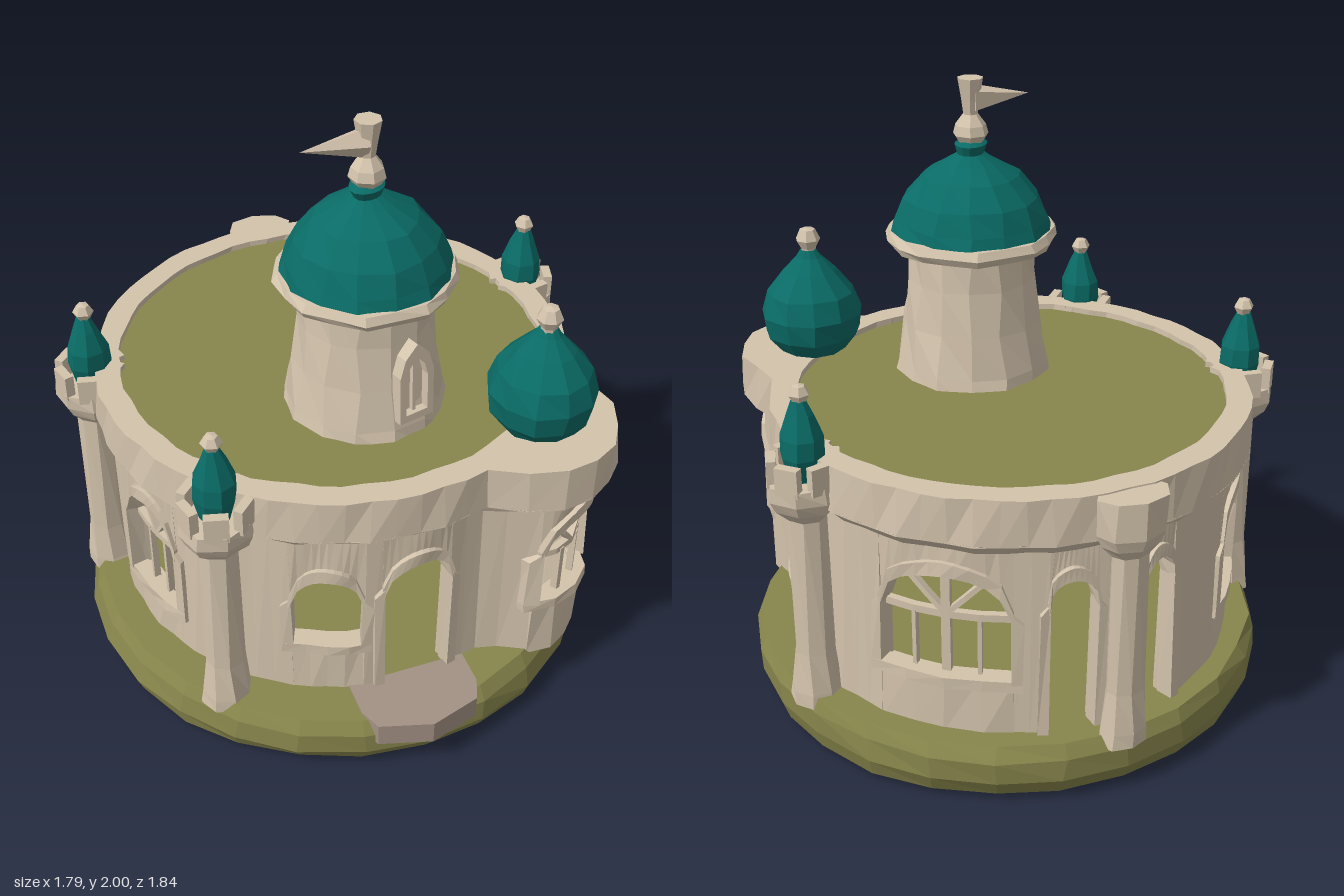
import * as THREE from 'three';

const stone = new THREE.MeshStandardMaterial({ color: 0xd3c3ac });
stone.name = 'pale stone';
const grass = new THREE.MeshStandardMaterial({ color: 0x88864c });
grass.name = 'moss green';
const teal = new THREE.MeshStandardMaterial({ color: 0x0a6b66 });
teal.name = 'teal roof';
const slab = new THREE.MeshStandardMaterial({ color: 0xa39184 });
slab.name = 'brown slab';

const RAD = Math.PI / 180;
const CZ = -0.04; // z of the round wall's centre
const TURRET = { x: 0.46, z: 0.53 };
const turretA = Math.atan2(TURRET.x, TURRET.z - CZ);
const turretD = Math.hypot(TURRET.x, TURRET.z - CZ);

// Facets a geometry and nudges its points for a hand-cut look
function facet(geo, amp = 0) {
  const p = geo.attributes.position;
  for (let i = 0; i < p.count; i++) {
    const x = p.getX(i), y = p.getY(i), z = p.getZ(i);
    const rx = Math.round(x * 1e4) / 1e4, rz = Math.round(z * 1e4) / 1e4;
    p.setX(i, x + amp * Math.sin(rz * 31 + y * 23 + rx * 7));
    p.setZ(i, z + amp * Math.sin(rx * 29 - y * 19 + rz * 5));
  }
  const g = geo.index ? geo.toNonIndexed() : geo;
  g.computeVertexNormals();
  return g;
}

function add(parent, name, geo, mat, amp = 0, x = 0, y = 0, z = 0) {
  const m = new THREE.Mesh(facet(geo, amp), mat);
  m.name = name;
  m.position.set(x, y, z);
  parent.add(m);
  return m;
}

const lathe = (pts, sides) =>
  new THREE.LatheGeometry(pts.map(([r, y]) => new THREE.Vector2(r, y)), sides);

// Plan radius of a round wall that bulges around the corner turret
function planRadius(a, R, Rt) {
  const d = a - turretA, s = turretD * Math.sin(d);
  if (Math.cos(d) < 0 || Math.abs(s) > Rt) return R;
  return Math.max(R, turretD * Math.cos(d) + Math.sqrt(Rt * Rt - s * s));
}
const wallOut = a => planRadius(a, 0.745, 0.205);
const wallIn = a => planRadius(a, 0.685, 0.14);

// Curved block between two angles; lo and hi give its heights along t = 0..1
function arcBlock(a0, a1, n, lo, hi, rIn, rOut, rOutLow = rOut) {
  const pos = [], idx = [];
  for (let i = 0; i <= n; i++) {
    const t = i / n, a = a0 + (a1 - a0) * t;
    const yl = lo(t), yh = hi(t);
    for (const [r, y] of [[rIn(a), yl], [rOutLow(a), yl], [rOut(a), yh], [rIn(a), yh]])
      pos.push(r * Math.sin(a), y, r * Math.cos(a) + CZ);
    if (i === n) break;
    for (let k = 0; k < 4; k++) {
      const A = i * 4 + k, B = i * 4 + (k + 1) % 4, C = B + 4, D = A + 4;
      idx.push(A, D, C, A, C, B);
    }
  }
  const e = n * 4;
  idx.push(0, 1, 2, 0, 2, 3, e, e + 2, e + 1, e, e + 3, e + 2);
  const g = new THREE.BufferGeometry();
  g.setAttribute('position', new THREE.Float32BufferAttribute(pos, 3));
  g.setIndex(idx);
  return g;
}

// Openings by angle: centre, half width (degrees), sill, arch spring, arch top, bars
const openings = [
  { c: -169.5, w: 5.5, y0: 0.2, y1: 0.64, y2: 0.76 },
  { c: -131, w: 12, y0: 0.4, y1: 0.61, y2: 0.76, bars: [-0.4, 0.3] },
  { c: -72, w: 10.5, y0: 0.37, y1: 0.61, y2: 0.77, bars: [-0.33, 0.33] },
  { c: -20.8, w: 9, y0: 0.41, y1: 0.58, y2: 0.71 },
  { c: 1.5, w: 9, y0: 0.2, y1: 0.62, y2: 0.74 },
  { c: turretA / RAD - 0.7, w: 9.7, y0: 0.43, y1: 0.62, y2: 0.77, bars: [-0.33, 0.33] },
  { c: 75, w: 10.7, y0: 0.39, y1: 0.6, y2: 0.76, bars: [-0.33, 0.33] },
  { c: 138.5, w: 16.5, y0: 0.4, y1: 0.61, y2: 0.77, bars: [-0.5, 0, 0.5] },
  { c: 168.5, w: 6, y0: 0.2, y1: 0.64, y2: 0.76 },
];

function buildWall(root) {
  const wall = new THREE.Group();
  wall.name = 'roundWall';
  root.add(wall);
  const k = v => () => v;
  const BOT = 0.19, TOP = 0.88;
  const solid = (d0, d1) => add(wall, 'wallPanel', arcBlock(d0 * RAD, d1 * RAD,
    Math.ceil((d1 - d0) / 5), k(BOT), k(TOP), wallIn, wallOut), stone, 0.005);
  let prev = -180;
  for (const o of openings) {
    const a0 = (o.c - o.w) * RAD, a1 = (o.c + o.w) * RAD, h = 2 * RAD;
    const arch = t => o.y1 + (o.y2 - o.y1) * Math.sqrt(Math.max(0, 1 - (2 * t - 1) ** 2));
    solid(prev, o.c - o.w);
    prev = o.c + o.w;
    add(wall, 'wallAboveOpening', arcBlock(a0, a1, 10, arch, k(TOP), wallIn, wallOut), stone, 0.005);
    // Raised surround
    const ti = a => wallOut(a) - 0.04, to = a => wallOut(a) + 0.015;
    add(wall, 'archTrim', arcBlock(a0, a1, 10, t => arch(t) - 0.005, t => arch(t) + 0.04, ti, to), stone, 0.005);
    add(wall, 'jambTrim', arcBlock(a0 - h, a0 + 0.01, 1, k(o.y0), t => o.y1 + 0.035 * t, ti, to), stone, 0.005);
    add(wall, 'jambTrim', arcBlock(a1 - 0.01, a1 + h, 1, k(o.y0), t => o.y1 + 0.035 * (1 - t), ti, to), stone, 0.005);
    if (o.y0 <= BOT + 0.02) continue;
    add(wall, 'wallBelowWindow', arcBlock(a0, a1, 4, k(BOT), k(o.y0), wallIn, wallOut), stone, 0.005);
    add(wall, 'windowSill', arcBlock(a0 - h, a1 + h, 4, k(o.y0 - 0.03), k(o.y0 + 0.008), ti, to), stone, 0.005);
    if (!o.bars) continue;
    // Window bars: uprights, transom and fanning arch spokes
    const bi = a => wallOut(a) - 0.045, bo = a => wallOut(a) - 0.022;
    const mid = o.c * RAD, half = o.w * RAD;
    for (const b of o.bars) {
      const thick = b === 0 ? 0.02 : 0.009;
      add(wall, 'windowUpright', arcBlock(mid + b * half - thick, mid + b * half + thick, 1,
        k(o.y0), k(b === 0 ? o.y2 : o.y1), bi, bo), stone);
    }
    add(wall, 'windowTransom', arcBlock(a0, a1, 4, k(o.y1 - 0.012), k(o.y1 + 0.012), bi, bo), stone);
    const rise = (o.y2 - o.y1) * 0.8;
    for (const s of [-1, 1]) {
      const up = t => o.y1 + rise * (s > 0 ? t : 1 - t);
      const e = mid + s * half * 0.6;
      add(wall, 'archSpoke', arcBlock(Math.min(mid, e), Math.max(mid, e), 2,
        t => up(t) - 0.012, t => up(t) + 0.012, bi, bo), stone);
    }
  }
  solid(prev, 180);

  // Cornice and parapet, filled solid over the turret
  const pOut = a => planRadius(a, 0.79, 0.275), pIn = k(0.7);
  add(wall, 'cornice', arcBlock(-Math.PI, Math.PI, 64, k(0.85), k(0.9), k(0.685), pOut, wallOut), stone, 0.005);
  add(wall, 'parapet', arcBlock(-Math.PI, Math.PI, 64, k(0.895), k(1.045), pIn,
    a => pOut(a) - 0.008, pOut), stone, 0.005);
}

// Buttress with a flared foot, a notched cap and an optional small onion dome
function buttress(root, x, z, domed) {
  const g = new THREE.Group();
  g.name = 'buttress';
  g.position.set(x, 0, z);
  g.rotation.y = Math.atan2(x, z - CZ);
  root.add(g);
  const top = domed ? 0.97 : 1.04;
  add(g, 'buttressShaft', lathe([[0, 0.17], [0.085, 0.17], [0.08, 0.22], [0.066, 0.36], [0.062, 0.84],
    [0.1, 0.88], [0.118, 0.92], [0.115, top], [0, top]], 8), stone, 0.004);
  if (!domed) {
    g.scale.z = 0.7;
    return;
  }
  for (let i = 0; i < 6; i++) {
    const a = (i + 0.5) * Math.PI / 3;
    const b = add(g, 'merlon', new THREE.BoxGeometry(0.075, 0.09, 0.03), stone, 0,
      0.095 * Math.sin(a), 1, 0.095 * Math.cos(a));
    b.rotation.y = a;
  }
  add(g, 'smallOnionDome', lathe([[0, 0.96], [0.05, 0.97], [0.07, 1.05], [0.067, 1.11],
    [0.04, 1.18], [0.022, 1.225], [0, 1.23]], 8), teal, 0.003);
  add(g, 'smallFinial', lathe([[0, 1.21], [0.018, 1.215], [0.034, 1.245], [0.02, 1.27], [0, 1.275]], 6), stone);
}

// Pointed arch outline for the tower window
function pointedArch(S, w, h, y = 0) {
  const s = new S();
  s.moveTo(-w, y);
  for (const [px, py] of [[w, 0], [w, h * 0.62], [w * 0.7, h * 0.84], [0, h], [-w * 0.7, h * 0.84], [-w, h * 0.62]])
    s.lineTo(px, y + py);
  return s;
}

function buildTower(root) {
  const t = new THREE.Group();
  t.name = 'tower';
  t.position.set(0.02, 0, 0.213);
  root.add(t);
  add(t, 'towerShaft', lathe([[0.268, 0.98], [0.252, 1.06], [0.23, 1.2], [0.212, 1.35], [0.208, 1.48]], 14), stone, 0.007);
  add(t, 'towerBrim', lathe([[0.19, 1.46], [0.27, 1.465], [0.285, 1.49], [0.272, 1.515], [0.2, 1.52]], 18), stone, 0.009);
  add(t, 'towerDome', lathe([[0, 1.49], [0.272, 1.495], [0.252, 1.55], [0.222, 1.62], [0.16, 1.69],
    [0.085, 1.735], [0.048, 1.76], [0.06, 1.79], [0.03, 1.805], [0, 1.805]], 14), teal, 0.006);
  add(t, 'mast', lathe([[0, 1.78], [0.035, 1.785], [0.058, 1.82], [0.05, 1.85], [0.024, 1.885],
    [0.03, 1.93], [0.042, 2], [0, 2]], 7), stone);
  // Pennant tapering to a point
  add(t, 'pennant', new THREE.ConeGeometry(0.05, 0.2, 5).rotateZ(Math.PI / 2).scale(1, 1, 0.8),
    stone, 0, -0.105, 1.93, 0);
  // Arched tower window
  const frame = pointedArch(THREE.Shape, 0.062, 0.27);
  frame.holes.push(pointedArch(THREE.Path, 0.04, 0.2, 0.025));
  const w = new THREE.Group();
  w.name = 'towerWindow';
  w.position.set(0.055, 1.09, 0.185);
  w.rotation.set(-0.06, 0.25, 0);
  t.add(w);
  add(w, 'towerWindowFrame', new THREE.ExtrudeGeometry(frame, { depth: 0.075, bevelEnabled: false }), stone);
  add(w, 'towerWindowPanel', new THREE.BoxGeometry(0.09, 0.2, 0.04), stone, 0, 0, 0.12, 0.025);
  add(w, 'towerWindowBar', new THREE.BoxGeometry(0.012, 0.2, 0.02), stone, 0, 0, 0.12, 0.05);
}

export function createModel() {
  const root = new THREE.Group();
  root.name = 'domedPavilion';

  // Grassy mound, and roof terrace with a stone ceiling beneath
  add(root, 'grassBase', lathe([[0, 0], [0.82, 0], [0.85, 0.025], [0.878, 0.09], [0.87, 0.165],
    [0.845, 0.21], [0, 0.21]], 26), grass, 0.008);
  add(root, 'roofTerrace', new THREE.CylinderGeometry(0.71, 0.71, 0.03, 32), [grass, grass, stone], 0, 0, 1.01, CZ);

  // Doorstep
  const step = new THREE.Shape([[-0.2, -0.68], [-0.2, -0.8], [-0.17, -0.87], [0, -0.92], [0.17, -0.87],
    [0.2, -0.8], [0.2, -0.68]].map(([x, y]) => new THREE.Vector2(x, y)));
  const stepGeo = new THREE.ExtrudeGeometry(step, { depth: 0.085, bevelEnabled: false });
  stepGeo.rotateX(-Math.PI / 2);
  add(root, 'doorstep', stepGeo, slab, 0, 0, 0.133, 0);

  buildWall(root);
  buttress(root, 0.775, -0.22, true);
  buttress(root, -0.775, -0.22, true);
  buttress(root, -0.57, 0.54, true);
  buttress(root, 0, -0.835, false);
  buildTower(root);

  // Large onion dome on the corner turret
  const onion = new THREE.Group();
  onion.name = 'cornerTurretTop';
  onion.position.set(0.475, 0, 0.545);
  root.add(onion);
  add(onion, 'largeOnionDome', lathe([[0, 1.03], [0.12, 1.045], [0.16, 1.1], [0.172, 1.175], [0.148, 1.25],
    [0.088, 1.32], [0.04, 1.37], [0.025, 1.395], [0, 1.395]], 11), teal, 0.004);
  add(onion, 'largeFinial', lathe([[0, 1.37], [0.024, 1.38], [0.026, 1.4], [0.042, 1.43], [0.026, 1.465], [0, 1.47]], 7), stone);
  return root;
}
